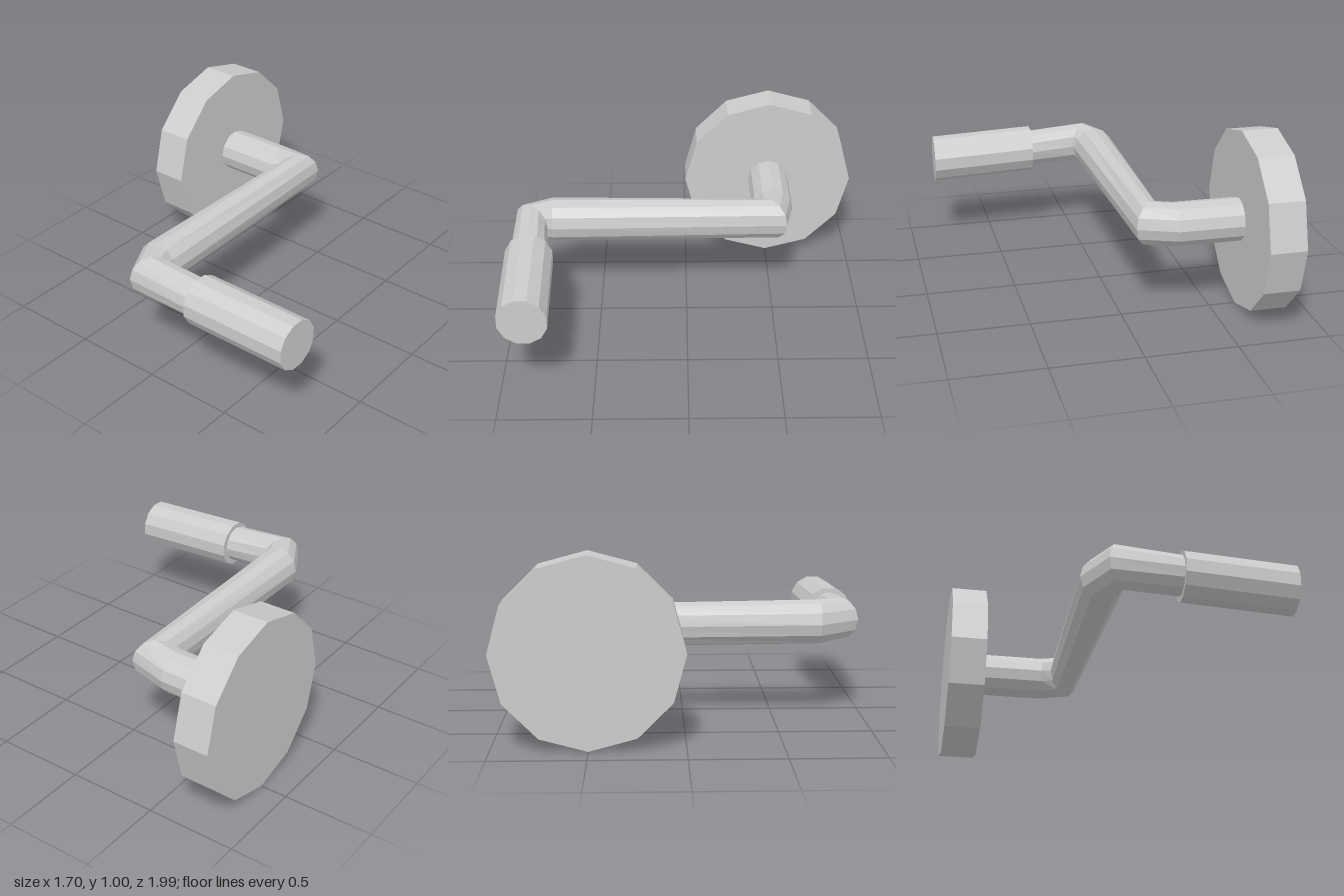
import * as THREE from 'three';

const SIDES = 12;
const material = new THREE.MeshStandardMaterial({ color: 0xcccccc, flatShading: true });

// Capped loft through rings [x, y, z, ux, uz, halfHeight]; (ux, uz) is the half-width vector to the left of travel.
function loft(name, rings, phase = 0) {
  const pos = [], idx = [];
  const n = rings.length;
  for (const [x, y, z, ux, uz, h] of rings) {
    for (let j = 0; j < SIDES; j++) {
      const a = phase + (j / SIDES) * Math.PI * 2;
      pos.push(x + ux * Math.cos(a), y + h * Math.sin(a), z + uz * Math.cos(a));
    }
  }
  for (let i = 0; i < n - 1; i++) {
    for (let j = 0; j < SIDES; j++) {
      const k = (j + 1) % SIDES;
      const a = i * SIDES + j, b = i * SIDES + k, c = b + SIDES, d = a + SIDES;
      idx.push(a, b, c, a, c, d);
    }
  }
  // End caps
  const last = (n - 1) * SIDES;
  for (let j = 1; j < SIDES - 1; j++) {
    idx.push(0, j + 1, j, last, last + j, last + j + 1);
  }
  const indexed = new THREE.BufferGeometry();
  indexed.setAttribute('position', new THREE.Float32BufferAttribute(pos, 3));
  indexed.setIndex(idx);
  const geo = indexed.toNonIndexed();
  geo.computeVertexNormals();
  const mesh = new THREE.Mesh(geo, material);
  mesh.name = name;
  return mesh;
}

export function createModel() {
  const group = new THREE.Group();
  group.name = 'crankHandle';

  // Round wheel plate
  group.add(loft('wheelDisc', [
    [-0.85, 0.5, -0.5, 0, -0.5, 0.5],
    [-0.65, 0.5, -0.5, 0, -0.5, 0.5],
  ]));

  // Axle, elbow, arm, second elbow and stub in one bent bar
  group.add(loft('crankBar', [
    [-0.66, 0.503, -0.503, 0, -0.12, 0.12],
    [-0.29, 0.505, -0.503, 0, -0.12, 0.12],
    [-0.15, 0.52, -0.488, 0.086, -0.087, 0.12],
    [-0.137, 0.532, 0.76, 0.118, 0.0, 0.124],
    [-0.078, 0.54, 0.88, 0.063, -0.095, 0.118],
    [0.27, 0.527, 0.868, 0, -0.104, 0.106],
  ]));

  // Slightly tilted hand grip
  group.add(loft('grip', [
    [0.247, 0.526, 0.865, 0.003, -0.134, 0.136],
    [0.847, 0.508, 0.848, 0.003, -0.134, 0.136],
  ], Math.PI / SIDES));

  return group;
}
